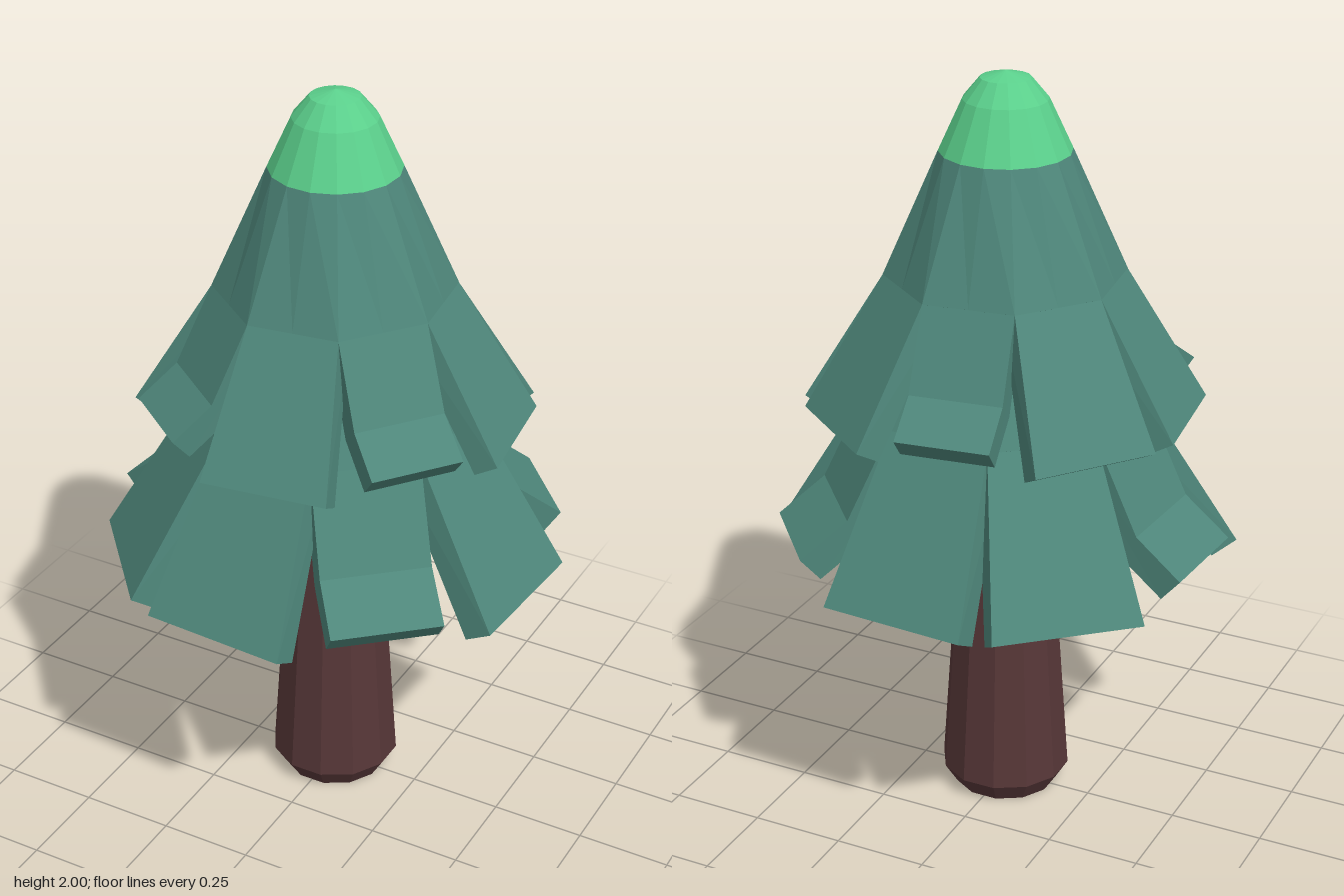
import * as THREE from 'three';

const leaf = new THREE.MeshStandardMaterial({ color: 0x4e867a, flatShading: true });
leaf.name = 'leaf green';
const tip = new THREE.MeshStandardMaterial({ color: 0x5bd08c, flatShading: true });
tip.name = 'bright tip green';
const bark = new THREE.MeshStandardMaterial({ color: 0x573738, flatShading: true });
bark.name = 'bark brown';

const EIGHTH = Math.PI / 4;
const FACE = Math.cos(EIGHTH / 2);
const rad = THREE.MathUtils.degToRad;

function mesh(geometry, material, name) {
  const m = new THREE.Mesh(geometry, material);
  m.name = name;
  return m;
}

function lathe(points, sides) {
  return new THREE.LatheGeometry(points.map(p => new THREE.Vector2(...p)), sides);
}

// Sixteen-sided cone that becomes a true octagon at its lower rim
function coneGeometry(points, rimY, roundY) {
  const geo = lathe(points, 16);
  const pos = geo.attributes.position;
  for (let i = 0; i < pos.count; i++) {
    const column = Math.floor(i / points.length);
    if (column % 2) continue;
    const t = THREE.MathUtils.clamp((pos.getY(i) - rimY) / (roundY - rimY), 0, 1);
    const k = THREE.MathUtils.lerp(FACE, 1, t);
    pos.setX(i, pos.getX(i) * k);
    pos.setZ(i, pos.getZ(i) * k);
  }
  const flat = geo.toNonIndexed();
  flat.computeVertexNormals();
  return flat;
}

// Thick hanging branch: side profile extruded across, then tapered in width
function branchGeometry(short, s) {
  const profile = short
    ? [[0.286, 0], [0.385, -0.2], [0.49, -0.28], [0.447, -0.33], [0.335, -0.245], [0.229, -0.03]]
    : [[0.286, 0], [0.49, -0.34], [0.432, -0.372], [0.229, -0.03]];
  const shape = new THREE.Shape(profile.map(([r, y]) => new THREE.Vector2(r * s, y * s)));
  const geo = new THREE.ExtrudeGeometry(shape, { depth: 1, bevelEnabled: false });
  geo.translate(0, 0, -0.5);
  geo.rotateY(-Math.PI / 2);
  const endWidth = short ? 0.243 : 0.33;
  const endY = short ? -0.28 : -0.34;
  const pos = geo.attributes.position;
  for (let i = 0; i < pos.count; i++) {
    const t = THREE.MathUtils.clamp(pos.getY(i) / (endY * s), 0, 1);
    pos.setX(i, pos.getX(i) * s * THREE.MathUtils.lerp(0.237, endWidth, t));
  }
  geo.computeVertexNormals();
  return geo;
}

// Ring of eight branches below a cone
function makeTier(name, rimY, scale, angle, shortOnes, conePoints, roundY) {
  const tier = new THREE.Group();
  tier.name = name;
  tier.rotation.y = rad(angle);
  tier.add(mesh(coneGeometry(conePoints, rimY, roundY), leaf, name + 'Cone'));
  const longGeo = branchGeometry(false, scale);
  const shortGeo = branchGeometry(true, scale);
  for (let k = 0; k < 8; k++) {
    const short = shortOnes.includes(k);
    const branch = mesh(short ? shortGeo : longGeo, leaf, short ? 'shortBranch' : 'longBranch');
    branch.position.y = rimY;
    branch.rotation.y = k * EIGHTH;
    tier.add(branch);
  }
  return tier;
}

export function createModel() {
  const tree = new THREE.Group();
  tree.name = 'tree';

  // Trunk with a chamfered foot
  const trunk = mesh(lathe([[0, 0], [0.14, 0], [0.174, 0.055], [0.13, 0.7], [0.1, 1.2]], 12), bark, 'trunk');
  trunk.rotation.y = rad(15);
  tree.add(trunk);

  // Two foliage tiers
  tree.add(makeTier('lowerTier', 1.14, 1.18, 86.4, [1, 4, 7],
    [[0, 1.1], [0.3, 1.1], [0.366, 1.14], [0.2, 1.5]], 1.5));
  const upper = makeTier('upperTier', 1.48, 1, 97.5, [2, 5, 7],
    [[0, 1.45], [0.25, 1.45], [0.31, 1.48], [0.168, 1.8]], 1.8);

  // Rounded bright tip
  upper.add(mesh(coneGeometry([[0.168, 1.8], [0.108, 1.93], [0.064, 1.983], [0, 2]], 1.48, 1.8), tip, 'treeTip'));
  tree.add(upper);
  return tree;
}
